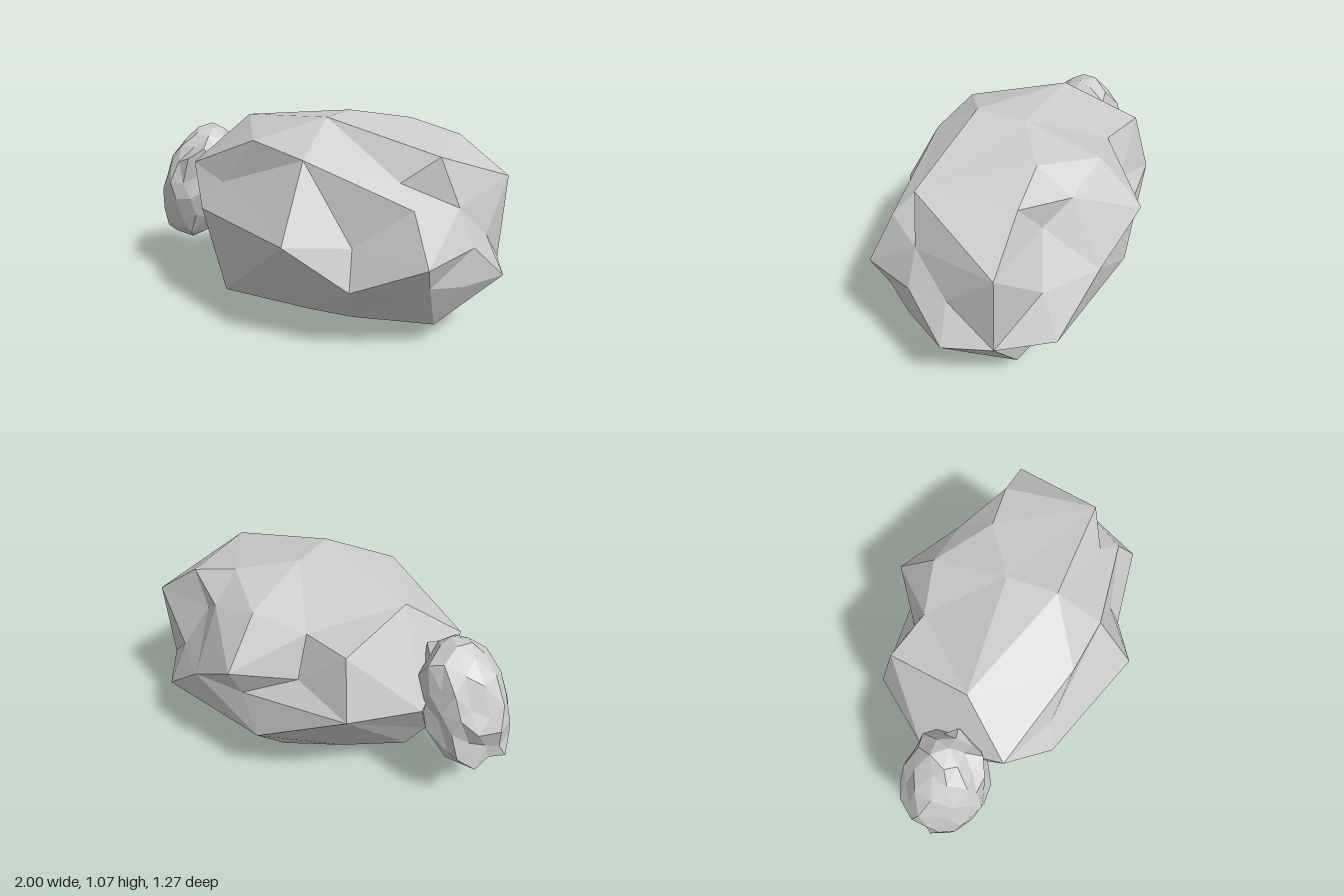
import * as THREE from 'three';
import { ConvexGeometry } from 'three/addons/geometries/ConvexGeometry.js';

const material = new THREE.MeshStandardMaterial({ color: 0xcccccc, flatShading: true });

// Corner points of the large boulder, grouped by region
const corners = [
  // crown
  [0.16, 1.075, 0.2], [0.16, 1.065, -0.05], [0.42, 1.02, -0.225], [-0.42, 0.99, -0.02],
  // upper front
  [0.16, 0.92, 0.43], [-0.13, 0.97, 0.39], [-0.33, 0.73, 0.37], [0.58, 0.84, 0.3], [0.68, 0.75, 0.38],
  // middle front
  [0.16, 0.57, 0.635], [-0.43, 0.59, 0.42], [0.42, 0.55, 0.45], [0.79, 0.525, 0.465], [0.44, 0.36, 0.515], [0.77, 0.4, 0.38],
  // left end
  [0.73, 0.957, 0.21], [0.67, 0.957, -0.25], [0.82, 0.725, 0.176], [0.925, 0.775, -0.26], [0.9, 0.55, -0.01], [0.9, 0.55, 0.18],
  [0.995, 0.355, -0.02], [0.87, 0.365, 0.22], [0.91, 0.35, -0.24], [0.74, 0.13, 0.2], [0.75, 0.14, -0.275],
  // upper back
  [0.16, 0.966, -0.43], [0.42, 0.9, -0.396], [-0.1, 0.91, -0.375], [-0.1, 0.7, -0.455], [0.16, 0.745, -0.64],
  [0.55, 0.8, -0.31], [-0.35, 0.91, -0.44],
  // lower back
  [0.69, 0.56, -0.375], [0.455, 0.57, -0.555], [0.16, 0.58, -0.555], [0.74, 0.34, -0.47], [0.08, 0.345, -0.565], [-0.4, 0.61, -0.51],
  // right end
  [-0.61, 0.76, 0.23], [-0.57, 0.28, 0], [-0.63, 0.57, -0.21],
  // underside
  [-0.46, 0.12, 0], [-0.34, 0.14, 0.37], [-0.14, 0.037, -0.12], [0.16, 0.005, -0.25], [0.16, 0.035, 0], [0.16, 0.16, 0.39],
  [0.375, 0.155, 0.36], [0.62, 0.225, -0.345],
].map((p) => new THREE.Vector3(...p));

// Facets come from the hull of the corner directions, so dents survive
function boulderGeometry(points, centre, radii) {
  const directions = points.map((p) => p.clone().sub(centre).divide(radii).normalize());
  const geometry = new ConvexGeometry(directions);
  const position = geometry.attributes.position;
  const v = new THREE.Vector3();
  for (let i = 0; i < position.count; i++) {
    v.fromBufferAttribute(position, i);
    let best = 0;
    directions.forEach((d, k) => {
      if (d.distanceToSquared(v) < directions[best].distanceToSquared(v)) best = k;
    });
    position.setXYZ(i, points[best].x, points[best].y, points[best].z);
  }
  geometry.computeVertexNormals();
  return geometry;
}

// Repeatable roughness in -1..1, the same for every copy of a shared corner
function roughness(v, seed) {
  const s = Math.sin(Math.round(v.x * 100) * 12.99 + Math.round(v.y * 100) * 78.23 + Math.round(v.z * 100) * 37.72 + seed) * 4375.85;
  return (s - Math.floor(s)) * 2 - 1;
}

// Rough, finely faceted stone
function stoneGeometry(rx, ry, rz) {
  const geometry = new THREE.IcosahedronGeometry(1, 2);
  const position = geometry.attributes.position;
  const v = new THREE.Vector3();
  for (let i = 0; i < position.count; i++) {
    v.fromBufferAttribute(position, i);
    const shift = new THREE.Vector3(roughness(v, 1), roughness(v, 2), roughness(v, 3)).multiplyScalar(0.07);
    const swell = 1 + 0.07 * roughness(v, 4);
    v.multiplyScalar(swell).add(shift);
    position.setXYZ(i, v.x * rx, v.y * ry, v.z * rz);
  }
  geometry.computeVertexNormals();
  return geometry;
}

export function createModel() {
  const group = new THREE.Group();
  group.name = 'rocks';

  const boulder = new THREE.Mesh(
    boulderGeometry(corners, new THREE.Vector3(0.18, 0.54, 0), new THREE.Vector3(0.8, 0.53, 0.6)), material);
  boulder.name = 'largeBoulder';

  const stone = new THREE.Mesh(stoneGeometry(0.205, 0.355, 0.22), material);
  stone.name = 'smallStone';
  stone.position.set(-0.765, 0.56, -0.015);
  stone.rotation.z = -0.4;

  group.add(boulder, stone);
  return group;
}
